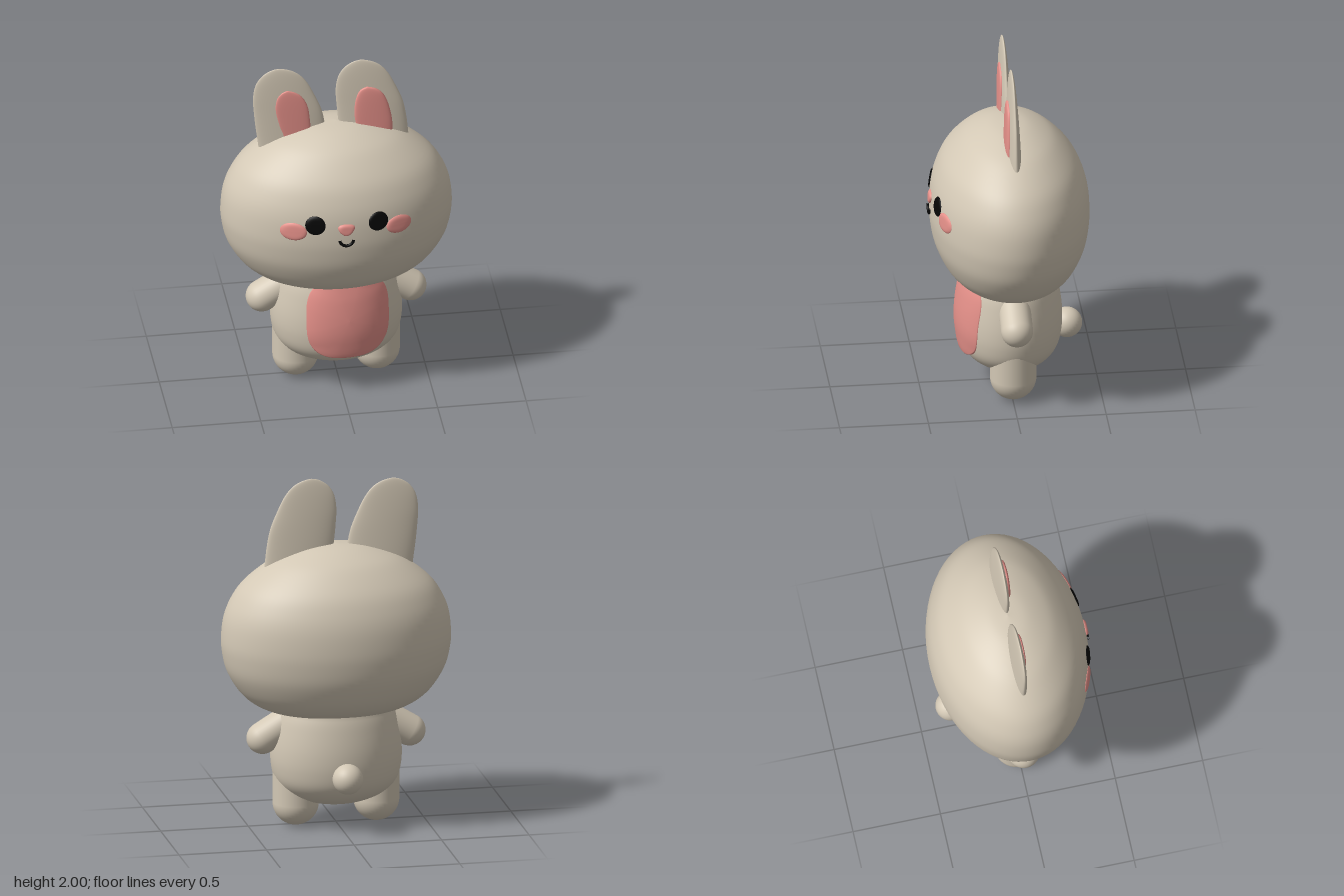
import * as THREE from 'three';

const mat = (name, color) => Object.assign(new THREE.MeshStandardMaterial({ color }), { name });

// Dense smooth profile from a few [radius, y] points
const profile = (pts) => new THREE.SplineCurve(pts.map(([r, y]) => new THREE.Vector2(r, y)))
  .getPoints(72).map((p) => new THREE.Vector2(Math.max(0, p.x), p.y));

// Front z of a lathed form squashed in depth
const frontOf = (pts, depth, z0) => (x, y) => {
  const i = Math.max(1, pts.findIndex((p) => p.y >= y));
  const a = pts[i - 1], b = pts[i];
  const r = a.x + (b.x - a.x) * (y - a.y) / (b.y - a.y);
  return z0 + depth * Math.sqrt(Math.max(0, r * r - x * x));
};

// Closed rings of points joined into a smooth skin
function skin(rings) {
  const n = rings[0].length, index = [];
  for (let i = 0; i < rings.length - 1; i++) {
    for (let j = 0; j < n; j++) {
      const a = i * n + j, b = i * n + (j + 1) % n, c = a + n, d = b + n;
      index.push(a, c, b, b, c, d);
    }
  }
  const g = new THREE.BufferGeometry();
  g.setAttribute('position', new THREE.Float32BufferAttribute(rings.flat(2), 3));
  g.setIndex(index);
  g.computeVertexNormals();
  return g;
}

const spow = (v, e) => Math.sign(v) * Math.abs(v) ** e;
const angles = (n) => Array.from({ length: n }, (_, j) => (j / n) * Math.PI * 2);

// Rounded pad that follows a curved front, with a skirt sunk into it;
// power sets squareness, taper widens the top
function pad(front, cx, cy, hw, hh, lift, power = 2, taper = 0, skirt = 0.01) {
  const rho = [0.001, 0.15, 0.3, 0.45, 0.6, 0.75, 0.87, 0.95, 0.985, 1, 1];
  return skin(rho.map((q, k) => angles(56).map((t) => {
    const v = spow(Math.sin(t), 2 / power) * q;
    const x = cx + hw * spow(Math.cos(t), 2 / power) * q * (1 + taper * v);
    const y = cy + hh * v;
    const sink = k === rho.length - 1 ? skirt : 0;
    return [x, y, front(x, y) + lift * (1 - 0.9 * q ** 8) - sink];
  })));
}

// Flat blade from [y, left x, right x] levels
function blade(levels, thick, fade, z0, square) {
  const rows = new THREE.CatmullRomCurve3(levels.map((l) => new THREE.Vector3(...l))).getPoints(44);
  const base = levels[0][0], top = levels[levels.length - 1][0];
  return skin(rows.map(({ x: y, y: x0, z: x1 }) => {
    const t = thick * Math.max(0, (top - y) / (top - base)) ** fade;
    return angles(40).map((a) => [
      (x0 + x1) / 2 + (x1 - x0) / 2 * Math.cos(a), y, z0 + t * spow(Math.sin(a), square)]);
  }));
}

export function createModel() {
  const model = new THREE.Group();
  model.name = 'rabbitToy';
  const fur = mat('beige fur', 0xd3c8b5);
  const pink = mat('pink', 0xe6918a);
  const black = mat('black', 0x060606);
  const add = (name, geometry, material) => {
    const m = new THREE.Mesh(geometry, material);
    m.name = name;
    model.add(m);
    return m;
  };
  const capsule = (name, a, b, r) => {
    const from = new THREE.Vector3(...a), to = new THREE.Vector3(...b);
    const dir = to.clone().sub(from);
    const m = add(name, new THREE.CapsuleGeometry(r, dir.length(), 14, 36), fur);
    m.position.copy(from).add(to).multiplyScalar(0.5);
    m.quaternion.setFromUnitVectors(new THREE.Vector3(0, 1, 0), dir.normalize());
  };

  // Head: wide egg with full cheeks and a flattened underside
  const headPts = profile([[0, 0.655], [0.2, 0.656], [0.34, 0.664], [0.44, 0.698], [0.515, 0.75], [0.57, 0.815],
    [0.62, 0.905], [0.644, 1], [0.651, 1.09], [0.637, 1.21], [0.598, 1.31], [0.53, 1.405], [0.405, 1.505],
    [0.295, 1.562], [0.15, 1.606], [0, 1.62]]);
  const headDepth = 0.447 / 0.651;
  const headFront = frontOf(headPts, headDepth, -0.008);
  add('head', new THREE.LatheGeometry(headPts, 72).scale(1, 1, headDepth).translate(0, 0, -0.008), fur);

  // Body: barrel with a round bottom
  const bodyPts = profile([[0, 0.118], [0.1, 0.124], [0.2, 0.149], [0.29, 0.195], [0.345, 0.26], [0.368, 0.35],
    [0.37, 0.45], [0.355, 0.56], [0.33, 0.66], [0.28, 0.76], [0, 0.8]]);
  add('body', new THREE.LatheGeometry(bodyPts, 64).scale(1, 1, 0.8).translate(0, 0, -0.007), fur);

  // Belly patch: its lower edge stands off the curve of the body
  const bodyFront = frontOf(bodyPts, 0.8, -0.007);
  const bellyFront = (x, y) => bodyFront(x, Math.max(y, 0.31 + (y - 0.31) * 0.25));
  add('bellyPatch', pad(bellyFront, 0.033, 0.478, 0.236, 0.243, 0.012, 3.2, 0, 0.06), pink);

  // Limbs
  for (const [side, s] of [['left', 1], ['right', -1]]) {
    capsule(side + 'Arm', [s * 0.24, 0.62, -0.007], [s * 0.42, 0.51, -0.007], 0.09);
    capsule(side + 'Leg', [s * 0.23, 0.3, -0.006], [s * 0.23, 0.13, -0.006], 0.13);
  }

  // Tail
  add('tail', new THREE.SphereGeometry(0.086, 32, 20), fur).position.set(0, 0.335, -0.333);

  // Ears: both lean the same way
  const ear = blade([[1.4, 0.035, 0.417], [1.51, 0.027, 0.408], [1.62, 0.013, 0.396], [1.72, 0.003, 0.376],
    [1.82, -0.002, 0.336], [1.9, 0.011, 0.296], [1.95, 0.04, 0.257], [1.98, 0.076, 0.214],
    [1.995, 0.11, 0.171], [2, 0.138, 0.142]], 0.045, 0.5, -0.008, 1);
  add('leftEar', ear, fur);
  const rightEar = add('rightEar', ear, fur);
  rightEar.position.set(-0.467, -0.02, 0);
  rightEar.scale.x = 1.02;
  add('leftInnerEar', blade([[1.4, 0.12, 0.31], [1.59, 0.108, 0.315], [1.66, 0.1, 0.306], [1.74, 0.104, 0.284],
    [1.79, 0.118, 0.258], [1.82, 0.138, 0.222], [1.835, 0.17, 0.175]], 0.03, 0.25, 0.016, 0.5), pink);
  add('rightInnerEar', blade([[1.4, -0.28, -0.15], [1.565, -0.31, -0.146], [1.63, -0.328, -0.149],
    [1.74, -0.346, -0.165], [1.8, -0.335, -0.197], [1.83, -0.312, -0.235],
    [1.845, -0.28, -0.275]], 0.025, 0.25, 0.012, 0.4), pink);

  // Face
  for (const [side, s] of [['left', 1], ['right', -1]]) {
    add(side + 'Eye', pad(headFront, s * 0.178, 1.194, 0.056, 0.056, 0.009), black);
    add(side + 'Cheek', pad(headFront, s * 0.298, 1.15, 0.073, 0.053, 0.01), pink);
  }
  add('nose', pad(headFront, -0.005, 1.163, 0.044, 0.036, 0.013, 2.2, 0.4), pink);
  const mouth = add('mouth', new THREE.TorusGeometry(0.039, 0.0085, 10, 28, Math.PI), black);
  mouth.position.set(-0.005, 1.106, 0.444);
  mouth.rotation.z = Math.PI;

  return model;
}
